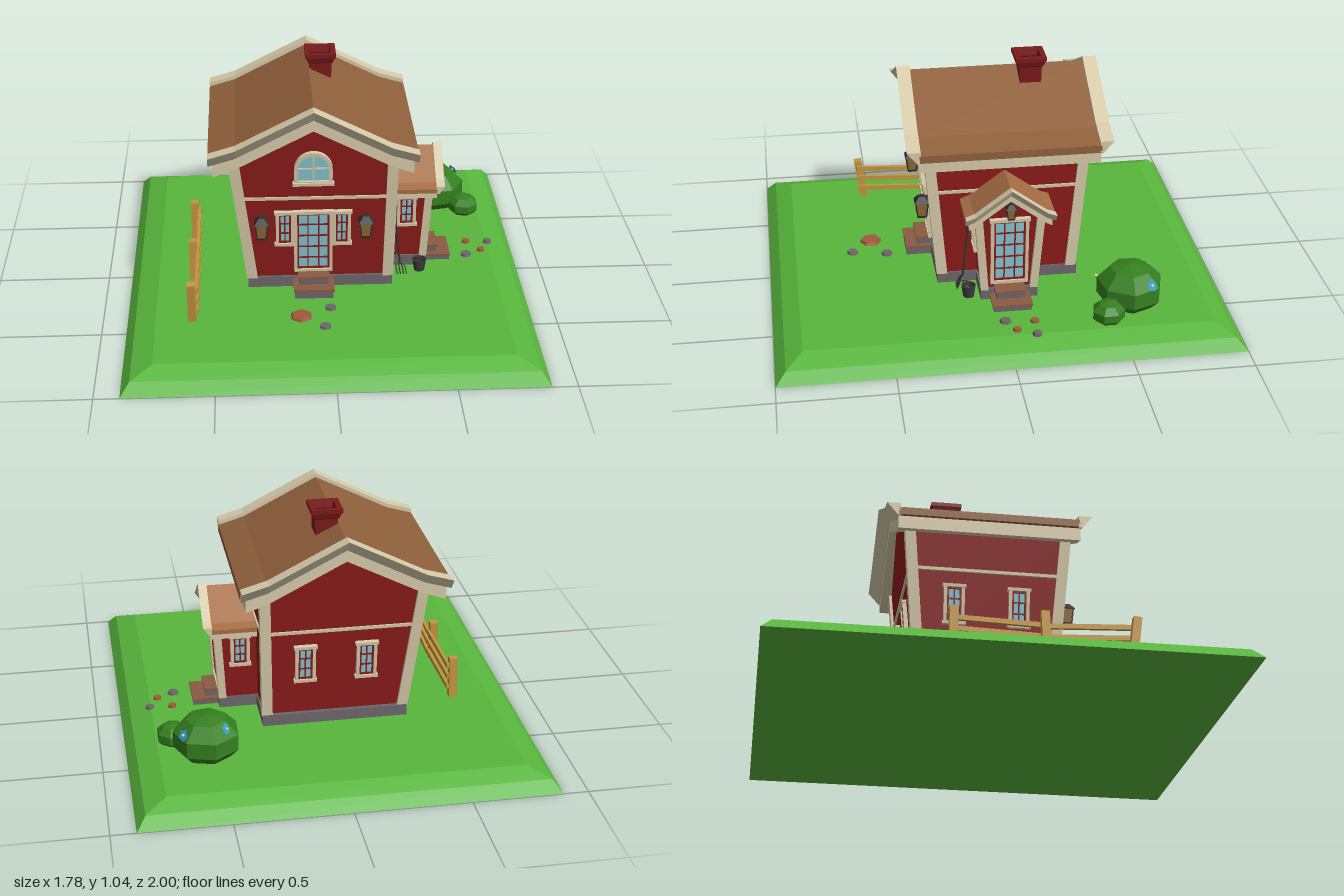
import * as THREE from 'three';

const mat = (color, side = THREE.FrontSide) => new THREE.MeshStandardMaterial({ color, flatShading: true, side });
const M = {
  grass: mat(0x58b63c), red: mat(0x8b1c1a), brick: mat(0x7a1a1a), cream: mat(0xd6caa8), roof: mat(0x8f603b),
  porchRoof: mat(0xa56d43), glass: mat(0x86c8d4), stone: mat(0x6b666a), step: mat(0x8a5a42), wood: mat(0xc4953f),
  bush: mat(0x35801f), dark: mat(0x33302f), amber: mat(0x8f6a35), blue: mat(0x2a9fd8, THREE.DoubleSide),
  yellow: mat(0xf0e060), clay: mat(0xa0583a), soot: mat(0x4a1010),
};

function add(parent, name, geo, material, x = 0, y = 0, z = 0) {
  const m = new THREE.Mesh(geo, material);
  m.name = name;
  m.position.set(x, y, z);
  parent.add(m);
  return m;
}
const box = (p, name, material, w, h, d, x, y, z) => add(p, name, new THREE.BoxGeometry(w, h, d), material, x, y, z);

// Flat-sided skin through rings of points, capped at both ends
function loft(rings) {
  const pos = [], n = rings[0].length, last = rings[rings.length - 1];
  for (let i = 0; i + 1 < rings.length; i++) {
    for (let j = 0; j < n; j++) {
      const k = (j + 1) % n, a = rings[i], b = rings[i + 1];
      pos.push(...a[j], ...a[k], ...b[k], ...a[j], ...b[k], ...b[j]);
    }
  }
  for (let j = 1; j + 1 < n; j++) {
    pos.push(...last[0], ...last[j], ...last[j + 1]);
    pos.push(...rings[0][0], ...rings[0][j + 1], ...rings[0][j]);
  }
  const g = new THREE.BufferGeometry();
  g.setAttribute('position', new THREE.Float32BufferAttribute(pos, 3));
  g.computeVertexNormals();
  return g;
}
const rect = (y, x0, x1, z0, z1) => [[x1, y, z1], [x1, y, z0], [x0, y, z0], [x0, y, z1]];

// Bent gable band: half profile [dx, y] mirrored about cx, section in [z, dy]
function band(half, cx, section) {
  const path = [...half.map(([d, y]) => [cx - d, y]), ...half.slice(0, -1).reverse().map(([d, y]) => [cx + d, y])];
  return loft(path.map(([x, y]) => section.map(([z, dy]) => [x, y + dy, z])));
}
const slab = (z0, z1, lo, hi) => [[z1, lo], [z0, lo], [z0, hi], [z1, hi]];

// Gabled wall block whose front and back lean outward with height
function gableBlock(pts, zFront, zBack) {
  const g = new THREE.ExtrudeGeometry(new THREE.Shape(pts.map(p => new THREE.Vector2(...p))), { depth: 1, bevelEnabled: false });
  const p = g.attributes.position;
  for (let i = 0; i < p.count; i++) p.setZ(i, p.getZ(i) > 0.5 ? zFront(p.getY(i)) : zBack(p.getY(i)));
  g.computeVertexNormals();
  return g;
}

// Corner post between outer corners (x0,z0) at y0 and (x1,z1) at y1
function post(p, name, sx, sz, w, [x0, y0, z0], [x1, y1, z1]) {
  const ring = (x, y, z) => rect(y, Math.min(x, x - sx * w), Math.max(x, x - sx * w), Math.min(z, z - sz * w), Math.max(z, z - sz * w));
  add(p, name, loft([ring(x0, y0, z0), ring(x1, y1, z1)]), M.cream);
}

function place(p, obj, x, y, z, yaw = 0, lean = 0) {
  obj.position.set(x, y, z);
  obj.rotation.set(lean, yaw, 0, 'YXZ');
  p.add(obj);
}

// Framed pane with bars, centred on the origin, facing +z
function pane(name, w, h, cols, rows, sill = false) {
  const g = new THREE.Group(), f = 0.014, iw = w - 2 * f, ih = h - 2 * f;
  g.name = name;
  for (const s of [-1, 1]) {
    box(g, 'frameSide', M.cream, f, h, 0.036, s * (w - f) / 2, 0, 0);
    box(g, 'frameRail', M.cream, w + (s > 0 || sill ? 0.012 : 0), f, 0.042, 0, s * (h - f) / 2, 0);
    box(g, 'sashSide', M.red, 0.008, ih, 0.026, s * (iw / 2 - 0.004), 0, 0);
    box(g, 'sashRail', M.red, iw, 0.008, 0.026, 0, s * (ih / 2 - 0.004), 0);
  }
  box(g, 'glass', M.glass, iw, ih, 0.014, 0, 0, 0);
  for (let i = 1; i < cols; i++) box(g, 'bar', M.red, 0.006, ih, 0.022, -iw / 2 + iw * i / cols, 0, 0);
  for (let i = 1; i < rows; i++) box(g, 'bar', M.red, iw, 0.006, 0.022, 0, -ih / 2 + ih * i / rows, 0);
  return g;
}

function lantern(s = 1) {
  const g = new THREE.Group();
  g.name = 'lantern';
  const frustum = (name, m, a, b, h, y) => add(g, name, new THREE.CylinderGeometry(a, b, h, 4).rotateY(Math.PI / 4), m, 0, y, 0.04);
  frustum('lanternRoof', M.dark, 0.018, 0.046, 0.028, 0.038);
  frustum('lanternGlass', M.amber, 0.037, 0.026, 0.066, -0.009);
  frustum('lanternBase', M.dark, 0.031, 0.026, 0.01, -0.046);
  for (const a of [-1, 1]) for (const b of [-1, 1]) {
    const bar = box(g, 'lanternBar', M.dark, 0.006, 0.07, 0.006, a * 0.023, -0.009, 0.04 + b * 0.023);
    bar.rotation.set(b * 0.1, 0, -a * 0.1);
  }
  box(g, 'lanternBracket', M.dark, 0.012, 0.012, 0.05, 0, 0.045, 0.015);
  g.scale.setScalar(s);
  return g;
}

function archShape(r, bottom) {
  const s = new THREE.Shape();
  s.moveTo(-r, bottom);
  s.lineTo(r, bottom);
  s.lineTo(r, 0);
  s.absarc(0, 0, r, 0, Math.PI, false);
  s.lineTo(-r, bottom);
  return s;
}

function archWindow() {
  const g = new THREE.Group(), frame = archShape(0.083, -0.075);
  g.name = 'archWindow';
  const ext = (s, d) => new THREE.ExtrudeGeometry(s, { depth: d, bevelEnabled: false, curveSegments: 8 });
  frame.holes.push(archShape(0.067, -0.06));
  add(g, 'archFrame', ext(frame, 0.03), M.cream, 0, 0, -0.01);
  add(g, 'archGlass', ext(archShape(0.069, -0.062), 0.014), M.glass, 0, 0, -0.006);
  box(g, 'archBar', M.cream, 0.007, 0.13, 0.024, 0, 0.003, 0.002);
  box(g, 'archBar', M.cream, 0.134, 0.007, 0.024, 0, 0, 0.002);
  box(g, 'archSill', M.cream, 0.18, 0.014, 0.044, 0, -0.072, 0.005);
  return g;
}

function buildHouse(root) {
  const g = new THREE.Group(), cx = -0.067;
  g.name = 'house';
  root.add(g);
  const zF = y => 0.25 + 0.091 * (y - 0.13), zB = y => -0.345 - 0.091 * (y - 0.13), xL = y => -0.35 - 0.131 * (y - 0.13);
  add(g, 'foundation', loft([rect(0.07, -0.358, 0.287, -0.365, 0.262), rect(0.135, -0.358, 0.287, -0.365, 0.262)]), M.stone);
  add(g, 'walls', gableBlock([[-0.35, 0.13], [0.28, 0.13], [0.295, 0.72], [cx, 0.9], [-0.427, 0.72]], zF, zB), M.red);
  add(g, 'wallStrip', loft([rect(0.533, -0.411, 0.297, -0.39, 0.294), rect(0.547, -0.412, 0.298, -0.391, 0.295)]), M.cream);
  for (const sz of [1, -1]) {
    const z0 = sz > 0 ? 0.265 : -0.36, z1 = sz > 0 ? 0.317 : -0.412;
    post(g, 'cornerPost', -1, sz, 0.047, [-0.362, 0.13, z0], [-0.436, 0.73, z1]);
    post(g, 'cornerPost', 1, sz, 0.047, [0.29, 0.13, z0], [0.302, 0.73, z1]);
  }
  // Roof: cream soffit, brown covering and tilted gable boards
  const top = [[0.453, 0.784], [0.337, 0.818], [0, 0.99]];
  add(g, 'soffit', band([[0.432, 0.785], [0.337, 0.818], [0, 0.99]], cx, slab(-0.445, 0.345, -0.108, -0.05)), M.cream);
  add(g, 'roofCovering', band(top, cx, slab(-0.445, 0.34, -0.052, -0.018)), M.roof);
  add(g, 'frontGableBoard', band(top, cx, [[0.35, -0.055], [0.335, -0.055], [0.335, 0], [0.395, 0]]), M.cream);
  add(g, 'backGableBoard', band(top, cx, [[-0.437, -0.055], [-0.45, -0.055], [-0.497, 0], [-0.437, 0]]), M.cream);
  // Chimney
  const sq = (y, r) => rect(y, -0.016 - r, -0.016 + r, -0.188 - r, -0.188 + r);
  add(g, 'chimney', loft([sq(0.86, 0.046), sq(0.995, 0.05), sq(1.0, 0.056), sq(1.025, 0.064), sq(1.025, 0.069), sq(1.043, 0.069), sq(1.043, 0.046), sq(1.01, 0.04)]), M.brick);
  add(g, 'chimneyFlue', loft([sq(1.0, 0.039), sq(1.013, 0.039)]), M.soot);
  // Front openings
  place(g, pane('frontDoor', 0.17, 0.315, 3, 5), cx, 0.322, zF(0.322), 0, 0.091);
  for (const s of [-1, 1]) {
    place(g, pane('frontWindow', 0.08, 0.175, 2, 3, true), cx + s * 0.125, 0.39, zF(0.39), 0, 0.091);
    place(g, lantern(), cx + s * 0.228, 0.41, zF(0.41), 0, 0);
  }
  place(g, archWindow(), cx, 0.692, zF(0.692), 0, 0.091);
  // Back and left windows
  for (const x of [-0.17, 0.1]) place(g, pane('backWindow', 0.09, 0.18, 2, 3, true), x, 0.385, zB(0.385), Math.PI, 0.091);
  for (const z of [-0.19, 0.09]) place(g, pane('leftWindow', 0.09, 0.18, 2, 3, true), xL(0.385), 0.385, z, -Math.PI / 2, 0.131);
  // Front steps
  box(g, 'lowerStep', M.stone, 0.17, 0.04, 0.14, cx, 0.1, 0.305);
  box(g, 'lowerTread', M.step, 0.18, 0.012, 0.145, cx, 0.122, 0.305);
  box(g, 'upperStep', M.stone, 0.13, 0.05, 0.08, cx, 0.138, 0.285);
  box(g, 'upperTread', M.step, 0.14, 0.012, 0.085, cx, 0.16, 0.287);
}

// Side porch, modelled facing +z then turned to face +x
function buildPorch(root) {
  const g = new THREE.Group();
  g.name = 'porch';
  place(root, g, 0, 0, -0.035, Math.PI / 2);
  const zF = y => 0.438 + 0.057 * (y - 0.13);
  add(g, 'porchFoundation', loft([rect(0.07, -0.125, 0.125, 0.25, 0.455), rect(0.135, -0.125, 0.125, 0.25, 0.455)]), M.stone);
  add(g, 'porchWalls', gableBlock([[-0.117, 0.13], [0.117, 0.13], [0.142, 0.48], [0, 0.59], [-0.142, 0.48]], zF, () => 0.25), M.red);
  for (const s of [-1, 1]) {
    post(g, 'porchPost', s, 1, 0.034, [s * 0.125, 0.13, 0.457], [s * 0.152, 0.485, 0.478]);
    place(g, pane('porchWindow', 0.085, 0.155, 2, 3, true), s * 0.134, 0.375, 0.36, s * Math.PI / 2, 0.071);
  }
  const top = [[0.195, 0.515], [0.155, 0.53], [0, 0.645]];
  add(g, 'porchSoffit', band([[0.18, 0.518], [0.155, 0.53], [0, 0.645]], 0, slab(0.25, 0.492, -0.065, -0.03)), M.cream);
  add(g, 'porchRoof', band(top, 0, slab(0.25, 0.49, -0.032, -0.012)), M.porchRoof);
  add(g, 'porchGableBoard', band(top, 0, [[0.5, -0.035], [0.487, -0.035], [0.487, 0], [0.525, 0]]), M.cream);
  place(g, pane('porchDoor', 0.165, 0.325, 3, 5), 0, 0.325, zF(0.325), 0, 0.057);
  place(g, lantern(0.7), 0, 0.53, zF(0.53));
  box(g, 'porchLowerStep', M.stone, 0.165, 0.03, 0.14, 0, 0.093, 0.498);
  box(g, 'porchLowerTread', M.step, 0.175, 0.01, 0.145, 0, 0.11, 0.4985);
  box(g, 'porchUpperStep', M.stone, 0.125, 0.04, 0.08, 0, 0.125, 0.47);
  box(g, 'porchUpperTread', M.step, 0.135, 0.01, 0.085, 0, 0.147, 0.472);
}

function buildGarden(root) {
  // Lawn slab with sloping rim
  add(root, 'lawn', loft([rect(0, -0.892, 0.892, -1, 1), rect(0.05, -0.852, 0.852, -0.955, 0.955), rect(0.085, -0.76, 0.76, -0.88, 0.88)]), M.grass);
  // Fence with crooked posts and sagging rails
  [[-0.22, 0.02], [0.165, -0.03], [0.54, 0.13]].forEach(([z, tilt]) => {
    box(root, 'fencePost', M.wood, 0.036, 0.21, 0.036, -0.602, 0.17, z).rotation.x = tilt;
  });
  for (const y of [0.128, 0.18, 0.23]) {
    for (const [a, b, d] of [[-0.23, 0.17, 0.008], [0.16, 0.56, -0.012]]) {
      box(root, 'fenceRail', M.wood, 0.014, 0.022, b - a, -0.58, y, (a + b) / 2).rotation.x = d * 4;
    }
  }
  // Bushes
  const bush = (r, h, x, y, z, turn) => {
    const b = add(root, 'bush', new THREE.SphereGeometry(1, 7, 5).rotateY(turn), M.bush, x, y, z);
    b.scale.set(r, h, r);
  };
  bush(0.152, 0.115, 0.555, 0.16, -0.55, 0.4);
  bush(0.075, 0.055, 0.69, 0.12, -0.43, 0.9);
  // Five-petalled flowers, facing away from the bush centre
  for (const [x, y, z] of [[0.48, 0.225, -0.615], [0.655, 0.215, -0.62], [0.5, 0.19, -0.418]]) {
    const f = new THREE.Group();
    f.name = 'flower';
    f.position.set(x, y, z);
    for (let i = 0; i < 5; i++) {
      const a = i * Math.PI * 0.4;
      add(f, 'petal', new THREE.CircleGeometry(0.012, 5), M.blue, Math.cos(a) * 0.016, Math.sin(a) * 0.016, 0.008);
    }
    add(f, 'flowerHeart', new THREE.IcosahedronGeometry(0.008, 0), M.yellow, 0, 0, 0.008);
    f.lookAt(x * 2 - 0.555, y * 2 - 0.15, z * 2 + 0.55);
    root.add(f);
  }
  // Path stones
  const stones = [[-0.13, 0.53, 0.052, 1], [0, 0.465, 0.027, 0], [-0.03, 0.62, 0.027, 0], [0.665, -0.115, 0.021, 1],
    [0.725, -0.03, 0.02, 1], [0.765, -0.11, 0.022, 0], [0.65, 0.01, 0.027, 0]];
  stones.forEach(([x, z, r, c], i) => {
    add(root, 'pathStone', new THREE.CylinderGeometry(r * 0.85, r, 0.014, 6).rotateY(i), c ? M.clay : M.stone, x, 0.09, z);
  });
  // Bucket
  const profile = [[0, 0.003], [0.024, 0.003], [0.032, 0.058], [0.028, 0.058], [0.022, 0.012], [0, 0.012]];
  add(root, 'bucket', new THREE.LatheGeometry(profile.map(p => new THREE.Vector2(...p)), 10), mat(0x3b3a3d, THREE.DoubleSide), 0.42, 0.085, 0.14);
  add(root, 'bucketHandle', new THREE.TorusGeometry(0.03, 0.003, 4, 10, Math.PI), M.dark, 0.42, 0.143, 0.14).rotation.x = 1;
  // Garden fork leaning on the wall
  const rod = (name, pts, r) => add(root, name, new THREE.TubeGeometry(new THREE.CatmullRomCurve3(pts.map(p => new THREE.Vector3(...p))), 6, r, 5), M.dark);
  rod('forkHandle', [[0.305, 0.4, 0.125], [0.315, 0.26, 0.14], [0.33, 0.14, 0.155]], 0.005);
  for (let i = 0; i < 4; i++) rod('forkTine', [[0.33, 0.14, 0.155], [0.312 + i * 0.013, 0.125, 0.165], [0.318 + i * 0.014, 0.09, 0.185]], 0.003);
}

export function createModel() {
  const root = new THREE.Group();
  root.name = 'cottage';
  buildGarden(root);
  buildHouse(root);
  buildPorch(root);
  return root;
}
